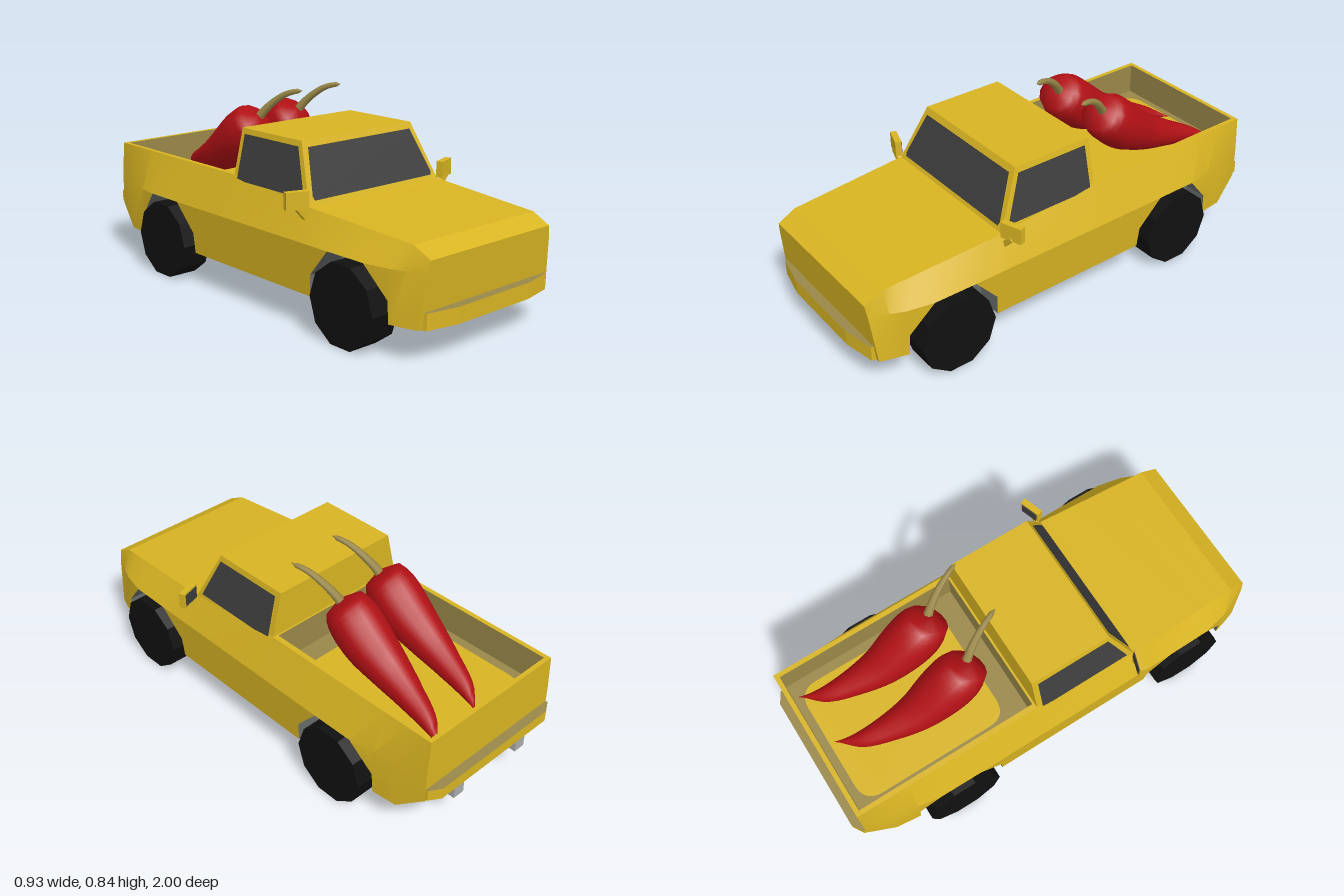
import * as THREE from 'three';
import { toCreasedNormals } from 'three/addons/utils/BufferGeometryUtils.js';

const material = (name, color) => {
  const m = new THREE.MeshStandardMaterial({ color });
  m.name = name;
  return m;
};

// Collects quads (counter-clockwise from outside) into one creased geometry
class Quads {
  constructor() { this.p = []; }
  add(a, b, c, d) { this.p.push(...a, ...b, ...c, ...a, ...c, ...d); }
  both(a, b, c, d) {
    const m = ([x, y, z]) => [-x, y, z];
    this.add(a, b, c, d);
    this.add(m(d), m(c), m(b), m(a));
  }
  mesh(name, mat, crease = 0.35) {
    const g = new THREE.BufferGeometry();
    g.setAttribute('position', new THREE.Float32BufferAttribute(this.p, 3));
    const mesh = new THREE.Mesh(toCreasedNormals(g, crease), mat);
    mesh.name = name;
    return mesh;
  }
}

// Piecewise linear lookup in rows of [z, value], z falling
function lookup(rows, z) {
  if (z >= rows[0][0]) return rows[0][1];
  for (let i = 1; i < rows.length; i++) {
    const [z0, v0] = rows[i - 1], [z1, v1] = rows[i];
    if (z >= z1) return v0 + (v1 - v0) * (z0 - z) / (z0 - z1);
  }
  return rows[rows.length - 1][1];
}

// Tube with its own radius at every point [x, y, z, r]
function taperedTube(points, segments, sides) {
  const curve = new THREE.CatmullRomCurve3(points.map(([x, y, z]) => new THREE.Vector3(x, y, z)));
  const radii = new THREE.SplineCurve(points.map(([, , , r], i) => new THREE.Vector2(i, r)));
  const g = new THREE.TubeGeometry(curve, segments, 1, sides);
  const pos = g.attributes.position, nor = g.attributes.normal, n = new THREE.Vector3();
  for (let i = 0; i < pos.count; i++) {
    const u = Math.floor(i / (sides + 1)) / segments;
    const r = Math.max(0.0005, radii.getPoint(curve.getUtoTmapping(u)).y);
    n.fromBufferAttribute(nor, i).multiplyScalar(r).add(curve.getPointAt(u));
    pos.setXYZ(i, n.x, n.y, n.z);
  }
  return toCreasedNormals(g, 1.3);
}

export function createModel() {
  const truck = new THREE.Group();
  truck.name = 'pickupTruck';
  const yellow = material('yellowPaint', 0xd8b422);
  const khaki = material('khaki', 0x9a8849);
  const glass = material('darkGlass', 0x3e3e3e);
  const rubber = material('blackRubber', 0x101010);
  const archGrey = material('archGrey', 0x686e6c);
  const metal = material('lightMetal', 0xaaaaaa);
  const red = material('pepperRed', 0xb01014);

  const add = (geometry, mat, name, x = 0, y = 0, z = 0, parent = truck) => {
    const mesh = new THREE.Mesh(geometry, mat);
    mesh.name = name;
    mesh.position.set(x, y, z);
    parent.add(mesh);
    return mesh;
  };

  // Body shape along z: half widths and heights
  const lowX = [[0.97, 0.365], [0.8, 0.41], [-0.65, 0.41], [-0.84, 0.39], [-0.96, 0.36]];
  const midX = [[0.97, 0.345], [0.84, 0.40], [0.72, 0.425], [-0.61, 0.425], [-0.84, 0.39], [-0.96, 0.36]];
  const topX = [[0.97, 0.335], [0.37, 0.362], [-0.11, 0.354], [-0.96, 0.35]];
  const topY = [[0.97, 0.40], [0.9, 0.44], [0.37, 0.475], [-0.11, 0.518], [-0.96, 0.52]];
  const floorY = [[0.97, 0.14], [-0.84, 0.14], [-0.96, 0.23]];
  const archEdge = [[0.205, 0.14], [0.2, 0.23], [0.095, 0.35], [-0.095, 0.35], [-0.2, 0.23], [-0.205, 0.14]];
  const axles = [0.635, -0.525];
  const midY = 0.35, innerX = 0.3, bedX = 0.33, bedFront = -0.12, bedBack = -0.94, bedY = 0.38;

  // Columns [z, bottom y, arch index] from nose to tail
  const columns = [0.97, 0.9, 0.37, -0.11, bedFront, -0.84, bedBack, -0.96].map(z => [z, lookup(floorY, z), -1]);
  axles.forEach((az, i) => archEdge.forEach(([dz, y]) => columns.push([az + dz, y, i])));
  columns.sort((a, b) => b[0] - a[0]);
  const sections = columns.map(([z, yb, arch]) => {
    const f = lookup(floorY, z), lx = lookup(lowX, z), mx = lookup(midX, z);
    const nose = z > 0.96;
    return {
      z, arch,
      low: [lx + (mx - lx) * (yb - f) / (midY - f), yb, nose ? 0.955 : z],
      mid: [mx, midY, nose ? 0.975 : z],
      top: [lookup(topX, z), lookup(topY, z), nose ? 0.98 : z],
      inner: [innerX, yb, nose ? 0.955 : z],
      floor: [innerX, f, nose ? 0.955 : z],
    };
  });
  const flip = ([x, y, z]) => [-x, y, z];
  const body = new Quads(), arches = new Quads();
  for (let i = 0; i + 1 < sections.length; i++) {
    const a = sections[i], b = sections[i + 1];
    body.both(a.low, b.low, b.mid, a.mid);
    body.both(a.mid, b.mid, b.top, a.top);
    body.add(flip(b.floor), b.floor, a.floor, flip(a.floor));
    const inArch = a.arch >= 0 && a.arch === b.arch;
    (inArch ? arches : body).both(b.inner, b.low, a.low, a.inner);
    if (inArch) arches.both(a.floor, b.floor, b.inner, a.inner);
    if (a.z <= bedFront && b.z >= bedBack) {
      const ra = [bedX, a.top[1], a.z], rb = [bedX, b.top[1], b.z];
      body.both(ra, a.top, b.top, rb);
    } else body.add(flip(a.top), a.top, b.top, flip(b.top));
  }
  const nose = sections[0], tail = sections[sections.length - 1];
  for (const [p, q] of [['low', 'mid'], ['mid', 'top']]) {
    body.add(flip(nose[p]), nose[p], nose[q], flip(nose[q]));
    body.add(tail[p], flip(tail[p]), flip(tail[q]), tail[q]);
  }
  truck.add(body.mesh('body', yellow), arches.mesh('wheelArches', archGrey));

  // Cargo bed lining and its rounded floor panel
  const bed = new Quads(), bx = bedX, by = 0.52;
  bed.both([bx, bedY, bedBack], [bx, bedY, bedFront], [bx, by, bedFront], [bx, by, bedBack]);
  bed.add([-bx, bedY, bedBack], [bx, bedY, bedBack], [bx, by, bedBack], [-bx, by, bedBack]);
  bed.add([bx, bedY, bedFront], [-bx, bedY, bedFront], [-bx, by, bedFront], [bx, by, bedFront]);
  bed.add([-bx, bedY, bedFront], [bx, bedY, bedFront], [bx, bedY, bedBack], [-bx, bedY, bedBack]);
  truck.add(bed.mesh('bedLining', khaki));
  const panel = new THREE.Shape();
  const w = 0.285, h = 0.345, k = 0.09;
  panel.moveTo(-w + k, -h).lineTo(w - k, -h).quadraticCurveTo(w, -h, w, -h + k)
    .lineTo(w, h - k).quadraticCurveTo(w, h, w - k, h).lineTo(-w + k, h)
    .quadraticCurveTo(-w, h, -w, h - k).lineTo(-w, -h + k).quadraticCurveTo(-w, -h, -w + k, -h);
  add(new THREE.ShapeGeometry(panel), yellow, 'bedFloorPanel', 0, bedY + 0.005, -0.56).rotation.x = -Math.PI / 2;

  // Cab
  const cab = new Quads();
  const fl = [0.362, 0.475, 0.37], rl = [0.362, 0.475, -0.11];
  const ft = [0.305, 0.71, 0.26], rt = [0.305, 0.71, -0.11];
  cab.both(fl, rl, rt, ft);
  cab.add(flip(fl), fl, ft, flip(ft));
  cab.add(rl, flip(rl), flip(rt), rt);
  cab.add(flip(ft), ft, rt, flip(rt));
  truck.add(cab.mesh('cab', yellow));

  // Windows just proud of the cab faces
  const sideX = y => 0.362 - 0.057 * (y - 0.475) / 0.235 + 0.004;
  const frontZ = y => 0.37 - 0.11 * (y - 0.475) / 0.235 + 0.004;
  const windows = new Quads();
  const wf = (x, y) => [x, y, frontZ(y)], ws = (y, z) => [sideX(y), y, z];
  windows.add(wf(-0.333, 0.51), wf(0.333, 0.51), wf(0.285, 0.685), wf(-0.285, 0.685));
  windows.add(wf(-0.328, 0.494), wf(0.328, 0.494), wf(0.333, 0.51), wf(-0.333, 0.51));
  windows.both(ws(0.5, 0.335), ws(0.5, -0.085), ws(0.688, -0.085), ws(0.688, 0.252));
  truck.add(windows.mesh('windows', glass));

  // Bumpers, drawn from above and extruded upward
  const bumper = (name, outline, y, height) => {
    const shape = new THREE.Shape(outline.map(([x, z]) => new THREE.Vector2(x, -z)));
    const g = new THREE.ExtrudeGeometry(shape, { depth: height, bevelEnabled: false });
    add(g, [khaki, yellow], name, 0, y, 0).rotation.x = -Math.PI / 2;
  };
  bumper('frontBumper', [[-0.345, 0.95], [-0.34, 0.972], [-0.2, 1], [0.2, 1], [0.34, 0.972], [0.345, 0.95]], 0.137, 0.066);
  bumper('rearBumper', [[-0.36, -0.95], [-0.36, -0.97], [-0.31, -1], [0.31, -1], [0.36, -0.97], [0.36, -0.95]], 0.24, 0.05);

  for (const side of [-1, 1]) {
    // Ten-sided wheels
    axles.forEach((z, i) => {
      const g = new THREE.CylinderGeometry(0.17, 0.17, 0.135, 10).rotateZ(Math.PI / 2);
      add(toCreasedNormals(g, 0.3), rubber, i ? 'rearWheel' : 'frontWheel', side * 0.3775, 0.162, z);
    });

    // Exhaust pipes
    add(new THREE.BoxGeometry(0.055, 0.06, 0.18), metal, 'exhaustPipe', side * 0.185, 0.185, -0.89);

    // Door mirrors
    const mirror = new THREE.Group();
    mirror.name = 'doorMirror';
    mirror.position.set(side * 0.417, 0.51, 0.358);
    mirror.rotation.y = side * 0.33;
    add(new THREE.BoxGeometry(0.095, 0.07, 0.028), yellow, 'mirrorHousing', 0, 0, 0, mirror);
    add(new THREE.BoxGeometry(0.078, 0.054, 0.004), glass, 'mirrorGlass', 0, 0, -0.015, mirror);
    truck.add(mirror);
    add(new THREE.BoxGeometry(0.022, 0.095, 0.018), yellow, 'mirrorBracket',
      side * 0.39, 0.45, 0.365).rotation.z = -side * 0.75;
  }

  // Two chilli peppers lying in the bed
  const fruit = [[-0.095, 0.712, -0.262, 0], [-0.096, 0.705, -0.266, 0.06], [-0.1, 0.685, -0.283, 0.09],
    [-0.1, 0.642, -0.335, 0.108], [-0.1, 0.575, -0.42, 0.106], [-0.1, 0.51, -0.53, 0.086],
    [-0.085, 0.465, -0.65, 0.062], [-0.055, 0.428, -0.78, 0.036], [0.003, 0.405, -0.885, 0]];
  const stem = [[-0.088, 0.69, -0.285, 0.022], [-0.075, 0.725, -0.262, 0.019], [-0.05, 0.775, -0.215, 0.016],
    [-0.025, 0.815, -0.155, 0.013], [0, 0.833, -0.09, 0.009], [0.001, 0.834, -0.085, 0]];
  for (const [x, z] of [[0, 0], [0.25, -0.03]]) {
    add(taperedTube(fruit, 28, 14), red, 'chilliPepper', x, 0, z);
    add(taperedTube(stem, 12, 7), khaki, 'chilliStem', x, 0, z);
  }
  return truck;
}
